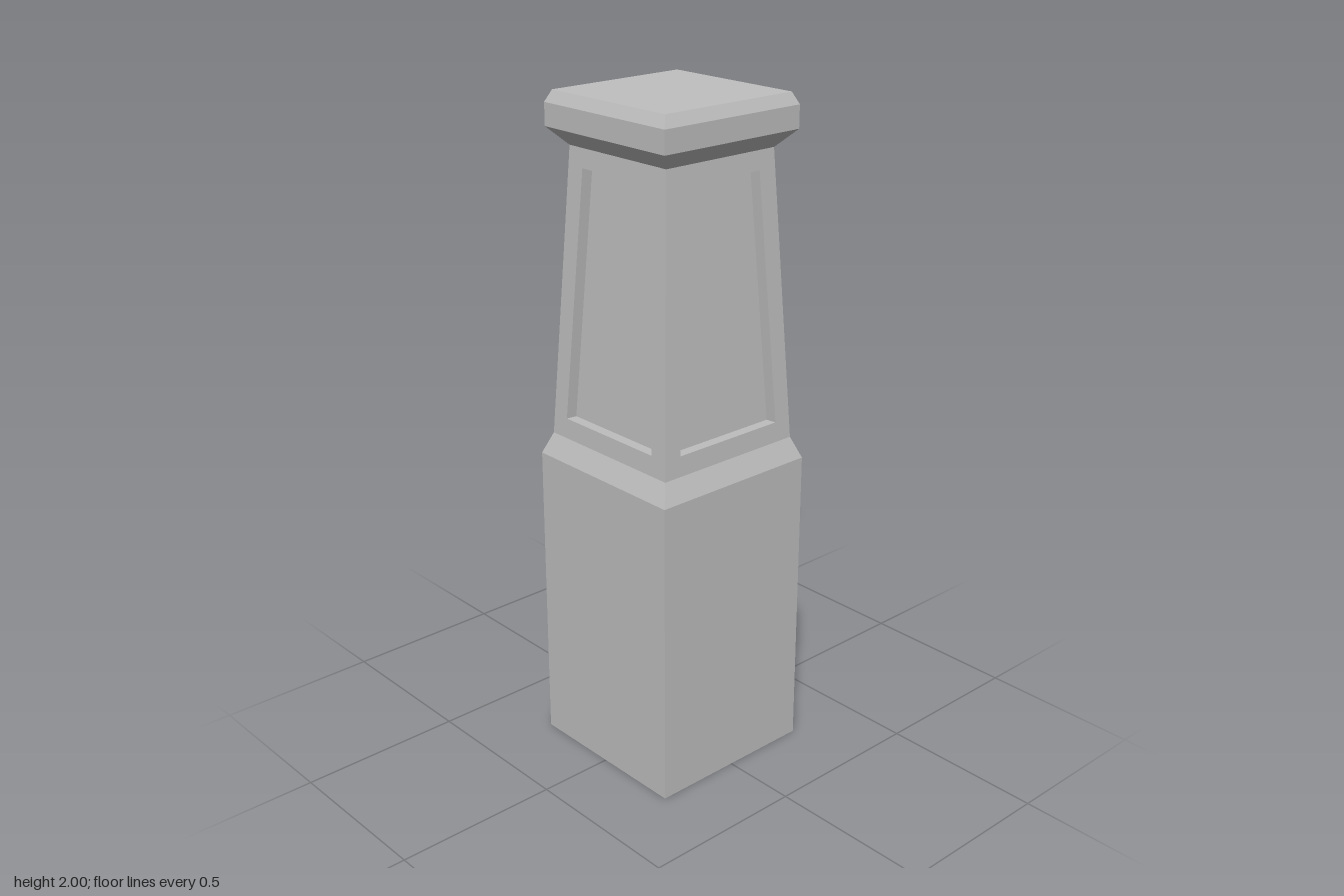
import * as THREE from 'three';

const stone = new THREE.MeshStandardMaterial({ color: 0xc0c0c0, flatShading: true });
stone.name = 'grey stone';

// Square solid of revolution from [halfWidth, y] pairs, listed bottom to top
function squareTurned(name, profile) {
  const points = profile.map(([h, y]) => new THREE.Vector2(h * Math.SQRT2, y));
  const geometry = new THREE.LatheGeometry(points, 4).rotateY(Math.PI / 4).toNonIndexed();
  geometry.computeVertexNormals();
  const mesh = new THREE.Mesh(geometry, stone);
  mesh.name = name;
  return mesh;
}

// Mesh from quads whose corners run counter-clockwise seen from outside
function quadMesh(name, quads) {
  const position = quads.flatMap(([a, b, c, d]) => [a, b, c, a, c, d].flatMap((p) => p.toArray()));
  const geometry = new THREE.BufferGeometry();
  geometry.setAttribute('position', new THREE.Float32BufferAttribute(position, 3));
  geometry.computeVertexNormals();
  const mesh = new THREE.Mesh(geometry, stone);
  mesh.name = name;
  return mesh;
}

const SHAFT = { y0: 1.0, y1: 1.85, h0: 0.244, h1: 0.197 };
const RECESS = 0.035;

// One tapered shaft face: frame, recess walls and sunken panel
function createShaftSide() {
  const { y0, y1, h0, h1 } = SHAFT;
  const depthAt = (y) => THREE.MathUtils.mapLinear(y, y0, y1, h0, h1);
  const ring = (wLow, yLow, wHigh, yHigh) =>
    [[-wLow, yLow], [wLow, yLow], [wHigh, yHigh], [-wHigh, yHigh]]
      .map(([x, y]) => new THREE.Vector3(x, y, depthAt(y)));

  const inward = new THREE.Vector3(0, h1 - h0, y0 - y1).normalize().multiplyScalar(RECESS);
  const outer = ring(h0, y0, h1, y1);
  const opening = ring(0.185, 1.06, 0.14, 1.795);
  const sunken = opening.map((p) => p.clone().add(inward));
  const band = (a, b) => a.map((p, i) => [p, a[(i + 1) % 4], b[(i + 1) % 4], b[i]]);

  const side = new THREE.Group();
  side.add(
    quadMesh('panelFrame', band(outer, opening)),
    quadMesh('recessWalls', band(opening, sunken)),
    quadMesh('sunkenPanel', [sunken]),
  );
  return side;
}

export function createModel() {
  const post = new THREE.Group();
  post.name = 'newelPost';

  // Square base with sloped shoulder
  post.add(squareTurned('base', [[0, 0], [0.27, 0], [0.27, 0.935], [SHAFT.h0, SHAFT.y0]]));

  // Four panelled shaft sides
  for (let i = 0; i < 4; i++) {
    const side = createShaftSide();
    side.name = 'shaftSide' + (i + 1);
    side.rotation.y = (i * Math.PI) / 2;
    post.add(side);
  }

  // Flared cap with chamfered top edge
  post.add(squareTurned('cap', [
    [SHAFT.h1, SHAFT.y1], [0.244, 1.9], [0.244, 1.966], [0.228, 2], [0, 2],
  ]));
  return post;
}
